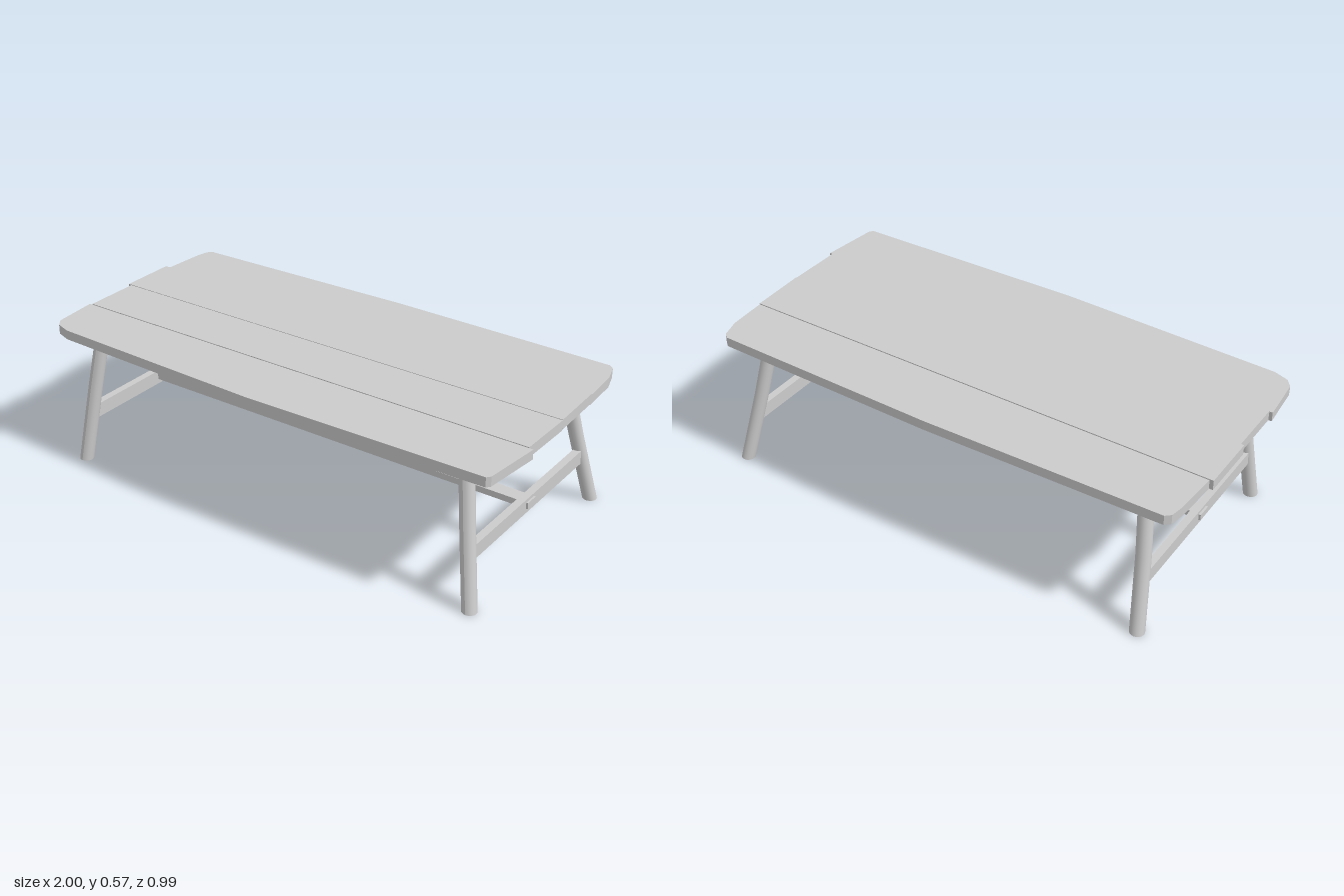
import * as THREE from 'three';

const material = new THREE.MeshStandardMaterial({ color: 0xcccccc });

export function createModel() {
  const model = new THREE.Group();
  const add = (name, geometry, parent = model) => {
    const mesh = new THREE.Mesh(geometry, material);
    mesh.name = name;
    parent.add(mesh);
    return mesh;
  };

  // Tabletop: four uneven planks, outlines as [x, z], with bottom and top heights
  const planks = [
    { name: 'backPlank', y: [0.53, 0.569], outline: [
      [-0.985, -0.23], [-0.975, -0.4], [-0.965, -0.455], [-0.945, -0.473], [0, -0.491],
      [0.93, -0.477], [0.95, -0.46], [0.972, -0.385], [0.98, -0.23]] },
    { name: 'innerBackPlank', y: [0.533, 0.573], outline: [
      [-1, 0], [-1, -0.23], [0.98, -0.23], [0.986, 0]] },
    { name: 'innerFrontPlank', y: [0.53, 0.571], outline: [
      [-0.987, 0.23], [-0.987, 0], [0.986, 0], [0.982, 0.23]] },
    { name: 'frontPlank', y: [0.53, 0.568], outline: [
      [-0.985, 0.41], [-1, 0.23], [0.998, 0.23], [0.972, 0.46], [0.96, 0.475],
      [0, 0.493], [-0.9, 0.463], [-0.96, 0.443]] },
  ];
  const tabletop = new THREE.Group();
  tabletop.name = 'tabletop';
  model.add(tabletop);
  for (const { name, y, outline } of planks) {
    const shape = new THREE.Shape(outline.map(([x, z]) => new THREE.Vector2(x, -z)));
    const geometry = new THREE.ExtrudeGeometry(shape, { depth: y[1] - y[0], bevelEnabled: false });
    geometry.rotateX(-Math.PI / 2).translate(0, y[0], 0);
    add(name, geometry, tabletop);
  }

  // Legs: round poles with a slight bend, offset ring by ring from foot to top
  const heights = [0, 0.3, 0.535];
  function leg(name, xs, zs) {
    const geometry = new THREE.CylinderGeometry(0.0285, 0.0285, 2, 16, 2);
    const p = geometry.attributes.position;
    for (let i = 0; i < p.count; i++) {
      const ring = Math.round(p.getY(i)) + 1;
      p.setXYZ(i, p.getX(i) + xs[ring], heights[ring], p.getZ(i) + zs[ring]);
    }
    geometry.computeVertexNormals();
    add(name, geometry);
  }
  const leftX = [0.907, 0.856, 0.818];
  const rightX = [-0.877, -0.846, -0.818];
  const frontZ = [0.437, 0.39, 0.352];
  const backZ = [-0.465, -0.397, -0.352];
  leg('frontLeftLeg', leftX, frontZ);
  leg('frontRightLeg', rightX, frontZ);
  leg('backLeftLeg', leftX, backZ);
  leg('backRightLeg', rightX, backZ);

  // End rails between front and back legs
  for (const [name, x] of [['leftEndRail', 0.872], ['rightEndRail', -0.857]]) {
    add(name, new THREE.BoxGeometry(0.03, 0.057, 0.8)).position.set(x, 0.203, -0.005);
  }

  // Long stretcher whose ends pass through the end rails
  add('longStretcher', new THREE.BoxGeometry(1.775, 0.025, 0.057)).position.set(0.007, 0.207, 0.001);

  return model;
}
